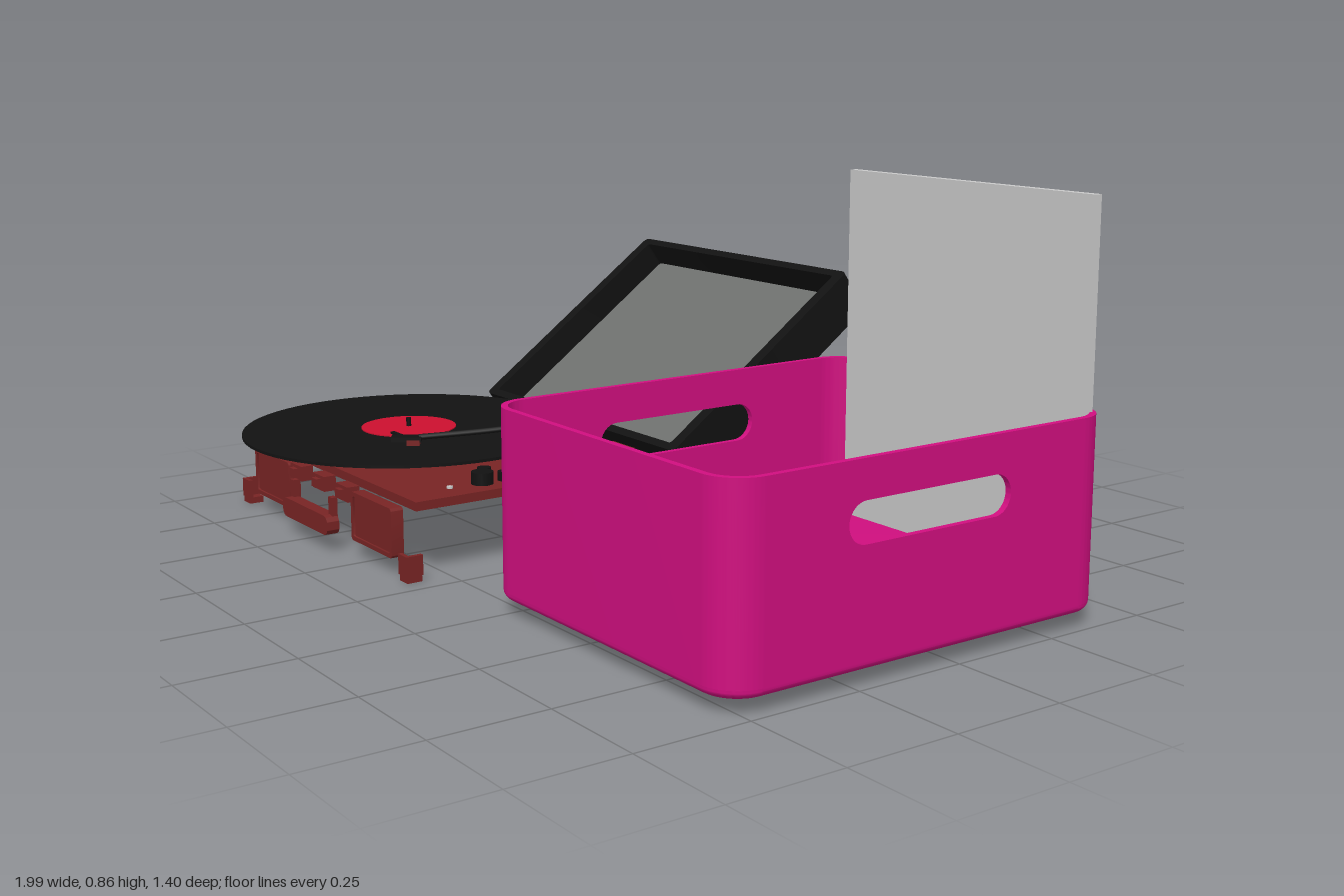
import * as THREE from 'three';
import { toCreasedNormals } from 'three/addons/utils/BufferGeometryUtils.js';

const mat = (name, color, side = THREE.FrontSide) => {
  const m = new THREE.MeshStandardMaterial({ color, side });
  m.name = name;
  return m;
};

export function createModel() {
  const model = new THREE.Group();
  const pink = mat('pink plastic', 0xd00f7f);
  const black = mat('black', 0x121212);
  const wine = mat('wine red', 0x782424);
  const red = mat('label red', 0xcc102e);
  const grey = mat('lid grey', 0x6e706e, THREE.DoubleSide);
  const card = mat('card grey', 0xcacaca);

  const add = (parent, name, geo, material, x = 0, y = 0, z = 0) => {
    const mesh = new THREE.Mesh(geo, material);
    mesh.name = name;
    mesh.position.set(x, y, z);
    parent.add(mesh);
    return mesh;
  };
  const group = (name, x = 0, y = 0, z = 0) => {
    const g = new THREE.Group();
    g.name = name;
    g.position.set(x, y, z);
    model.add(g);
    return g;
  };
  const box = (w, h, d) => new THREE.BoxGeometry(w, h, d);
  const cyl = (r, h, n = 32, r2 = r) => new THREE.CylinderGeometry(r2, r, h, n);
  const extrude = (shape, depth, opts = {}) => toCreasedNormals(
    new THREE.ExtrudeGeometry(shape, { depth, bevelEnabled: false, curveSegments: 12, ...opts }), 0.6);
  const rect = (w, h, r, Type = THREE.Shape) => {
    const s = new Type(), a = w / 2, b = h / 2;
    s.moveTo(a, -b + r);
    s.absarc(a - r, b - r, r, 0, Math.PI / 2);
    s.absarc(-a + r, b - r, r, Math.PI / 2, Math.PI);
    s.absarc(-a + r, -b + r, r, Math.PI, Math.PI * 1.5);
    s.absarc(a - r, -b + r, r, Math.PI * 1.5, Math.PI * 2);
    return s;
  };
  const frame = (w, h, rim, depth) => {
    const s = rect(w, h, 0.008);
    s.holes.push(rect(w - 2 * rim, h - 2 * rim, 0.004, THREE.Path));
    return extrude(s, depth);
  };

  // Storage bin: two C-shaped ends, two slotted sides and a rounded floor
  const W = 0.4, D = 0.478, R = 0.08, T = 0.014, H = 0.38;
  const bin = group('storageBin', 0.592, 0.05, 0.0675);
  const c = new THREE.Shape();
  c.moveTo(W, D - R);
  c.absarc(W - R, D - R, R, 0, Math.PI / 2);
  c.absarc(-W + R, D - R, R, Math.PI / 2, Math.PI);
  c.lineTo(-W + T, D - R);
  c.absarc(-W + R, D - R, R - T, Math.PI, Math.PI / 2, true);
  c.absarc(W - R, D - R, R - T, Math.PI / 2, 0, true);
  const endGeo = extrude(c, H).rotateX(-Math.PI / 2);
  add(bin, 'binBack', endGeo, pink);
  add(bin, 'binFront', endGeo, pink).rotation.y = Math.PI;

  const side = new THREE.Shape();
  side.moveTo(-D + R, 0);
  side.lineTo(D - R, 0);
  side.lineTo(D - R, H);
  side.lineTo(-D + R, H);
  const slot = new THREE.Path();
  slot.absarc(0.167, 0.261, 0.041, -Math.PI / 2, Math.PI / 2);
  slot.absarc(-0.157, 0.261, 0.041, Math.PI / 2, Math.PI * 1.5);
  side.holes.push(slot);
  const sideGeo = extrude(side, T).rotateY(-Math.PI / 2);
  add(bin, 'binLeftSide', sideGeo, pink, W);
  add(bin, 'binRightSide', sideGeo, pink, -W + T);
  const floorGeo = extrude(rect(2 * W - 0.04, 2 * D - 0.04, R - 0.02), 0.001,
    { bevelEnabled: true, bevelSize: 0.02, bevelThickness: 0.02, bevelSegments: 5 });
  add(bin, 'binFloor', floorGeo.rotateX(-Math.PI / 2), pink);

  // Record sleeve standing at the back of the bin
  add(model, 'recordSleeve', box(0.71, 0.79, 0.018), card, 0.605, 0.465, -0.377);

  // Turntable deck with shallow ribs beneath
  const deck = group('deck', -0.475, 0, 0.255);
  add(deck, 'deckPlate', box(0.83, 0.02, 0.64), wine, 0, 0.163, 0);
  add(deck, 'underRib', frame(0.52, 0.42, 0.012, 0.008).rotateX(Math.PI / 2), wine, -0.05, 0.154, 0);
  add(deck, 'motorBoss', cyl(0.045, 0.03), wine, 0.26, 0.145, -0.2);
  for (const x of [-0.36, 0.36]) for (const z of [-0.26, 0.26])
    add(deck, 'screw', cyl(0.009, 0.008, 12), black, x, 0.151, z);
  add(deck, 'platter', cyl(0.24, 0.02, 48), red, -0.12, 0.184, 0.045);

  // Record with label and spindle
  const record = group('record', -0.6, 0.202, 0.3);
  add(record, 'disc', cyl(0.4, 0.007, 64), black);
  add(record, 'label', cyl(0.115, 0.003, 40), red, 0, 0.0045, 0);
  add(record, 'spindle', cyl(0.006, 0.03, 12), black, 0, 0.012, 0);

  // Tonearm
  const arm = group('tonearm');
  add(arm, 'armBase', cyl(0.05, 0.03), black, -0.22, 0.186, 0.04);
  add(arm, 'armPivot', cyl(0.026, 0.06, 24), black, -0.225, 0.225, 0.05);
  const path = new THREE.CatmullRomCurve3([
    [-0.2, 0.255, 0.0], [-0.24, 0.255, 0.08], [-0.33, 0.237, 0.24], [-0.41, 0.225, 0.375],
  ].map((p) => new THREE.Vector3(...p)));
  add(arm, 'armTube', new THREE.TubeGeometry(path, 24, 0.007, 10), black);
  add(arm, 'counterweight', cyl(0.022, 0.05, 20).rotateX(Math.PI / 2), black, -0.208, 0.252, 0.015).rotation.y = -0.45;
  add(arm, 'headshell', box(0.03, 0.012, 0.07), black, -0.425, 0.222, 0.4).rotation.y = -0.6;
  add(arm, 'cartridge', box(0.024, 0.012, 0.03), wine, -0.41, 0.214, 0.39).rotation.y = -0.6;
  add(arm, 'fingerLift', box(0.06, 0.005, 0.01), black, -0.465, 0.224, 0.4);
  add(arm, 'armRest', box(0.02, 0.05, 0.025), wine, -0.17, 0.195, 0.17);

  // Control knobs
  for (const [x, z, r, h] of [[-0.18, 0.335, 0.016, 0.02], [-0.12, 0.315, 0.018, 0.02],
    [-0.12, 0.375, 0.025, 0.028], [-0.12, 0.255, 0.008, 0.015]])
    add(model, 'controlKnob', cyl(r, h, 20), black, x, 0.173 + h / 2, z);
  add(model, 'indicator', cyl(0.007, 0.006, 12), card, -0.125, 0.175, 0.455);

  // Front speaker panels: face with a rim behind
  for (const x of [-0.732, -0.215]) {
    const panel = group('speakerPanel', x, 0.094, 0.575);
    add(panel, 'panelRim', frame(0.192, 0.112, 0.01, 0.03), wine);
    add(panel, 'panelFace', box(0.18, 0.1, 0.008), wine, 0, 0, 0.021);
  }

  // Clasps and carrying handle
  for (const x of [-0.595, -0.475, -0.355]) {
    add(model, 'clasp', box(0.06, 0.035, 0.03), wine, x, 0.137, 0.59);
    add(model, 'claspTongue', box(0.025, 0.02, 0.012), wine, x, 0.137, 0.61);
  }
  const handle = extrude(rect(0.235, 0.045, 0.018), 0.03);
  add(model, 'handle', handle, wine, -0.475, 0.062, 0.612);
  for (const x of [-0.575, -0.375])
    add(model, 'handleLink', box(0.018, 0.05, 0.014), wine, x, 0.1, 0.618);

  // Case corner feet: an L-shaped wrap on a small pad
  for (const sx of [-1, 1]) for (const sz of [-1, 1]) {
    const foot = group('cornerFoot', -0.475 + sx * 0.41, 0, 0.268 + sz * 0.32);
    add(foot, 'footSide', box(0.01, 0.045, 0.04), wine, sx * 0.014, 0.037, 0);
    add(foot, 'footFace', box(0.038, 0.045, 0.01), wine, 0, 0.037, sz * 0.015);
    add(foot, 'footPad', box(0.034, 0.015, 0.036), wine, 0, 0.0075, 0);
  }
  for (const x of [-0.7, -0.25]) add(model, 'hinge', box(0.09, 0.018, 0.035), wine, x, 0.165, -0.08);

  // Open lid: a leaning tray with an inner panel and a bulging back
  const lid = group('lid', -0.475, 0.195, -0.1);
  lid.rotation.x = -0.946;
  const ring = rect(0.85, 0.65, 0.015);
  ring.holes.push(rect(0.785, 0.61, 0.008, THREE.Path));
  add(lid, 'lidFrame', extrude(ring, 0.115), black, 0, 0.325, -0.115);
  add(lid, 'lidInnerPanel', box(0.79, 0.615, 0.006), grey, 0, 0.325, -0.073);
  const back = new THREE.PlaneGeometry(0.83, 0.63, 24, 24);
  const p = back.attributes.position;
  for (let i = 0; i < p.count; i++) {
    const u = p.getX(i) / 0.415, v = p.getY(i) / 0.315;
    p.setZ(i, 0.05 * (1 - u ** 4) * (1 - v ** 4));
  }
  back.computeVertexNormals();
  add(lid, 'lidBack', back.rotateY(Math.PI), grey, 0, 0.325, -0.116);
  for (const sx of [-1, 1]) for (const y of [0.015, 0.635])
    add(lid, 'lidCorner', box(0.036, 0.04, 0.045), wine, sx * 0.412, y, -0.098);

  return model;
}
